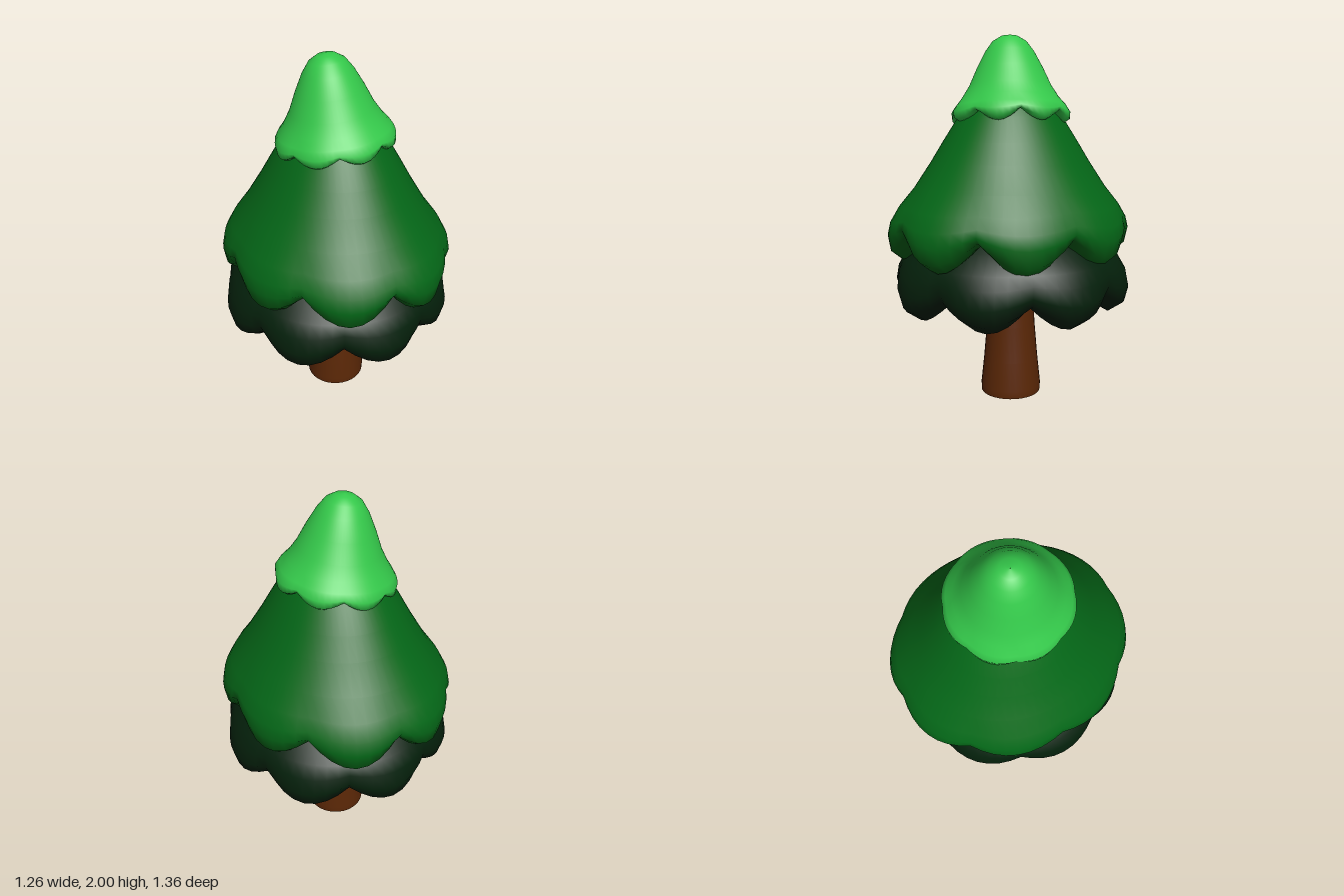
import * as THREE from 'three';

const LOBES = 8, STEPS = 8;

// Scalloped skirt from rings [radius, y, radius lost at a notch, height gained at a notch]
function skirt(name, color, rings) {
  const n = LOBES * STEPS, pos = [], index = [];
  rings.forEach(([r, y, dr = 0, dy = 0], i) => {
    for (let j = 0; j < n; j++) {
      const t = (j / n) * Math.PI * 2;
      const notch = 1 - Math.abs(Math.sin(t * LOBES / 2));
      const rad = r - dr * notch;
      pos.push(rad * Math.sin(t), y + dy * notch, rad * Math.cos(t));
      if (i < rings.length - 1) {
        const k = (j + 1) % n, a = i * n, b = a + n;
        index.push(a + j, b + j, b + k, a + j, b + k, a + k);
      }
    }
  });
  const geo = new THREE.BufferGeometry();
  geo.setAttribute('position', new THREE.Float32BufferAttribute(pos, 3));
  geo.setIndex(index);
  geo.computeVertexNormals();
  const mesh = new THREE.Mesh(geo, new THREE.MeshStandardMaterial({ color, side: THREE.DoubleSide }));
  mesh.name = name;
  return mesh;
}

export function createModel() {
  const tree = new THREE.Group();
  tree.name = 'tree';

  // Hollow trunk flaring towards the ground
  const trunkProfile = [[0.168, 0], [0.17, 0.04], [0.153, 0.2], [0.136, 0.4], [0.13, 0.55], [0.128, 0.66]];
  const trunk = new THREE.Mesh(
    new THREE.LatheGeometry(trunkProfile.map(p => new THREE.Vector2(...p)), 32),
    new THREE.MeshStandardMaterial({ color: 0x5a2706, side: THREE.DoubleSide }));
  trunk.name = 'trunk';

  // Lowest, darkest foliage: a cone open at the top, with a rolled rim
  const lower = skirt('lowerFoliage', 0x04200b, [
    [0.27, 1.02], [0.38, 0.965], [0.5, 0.885], [0.585, 0.8, 0.01], [0.625, 0.73, 0.025, 0.02],
    [0.643, 0.64, 0.04, 0.05], [0.622, 0.555, 0.045, 0.09], [0.545, 0.5, 0.035, 0.125],
    [0.485, 0.53, 0.02, 0.11], [0.45, 0.6, 0, 0.07],
  ]);
  lower.scale.z = 1.03;

  // Large middle foliage: an open cone, slightly oval and turned by half a lobe
  const middle = skirt('middleFoliage', 0x046617, [
    [0.001, 1.8], [0.15, 1.74], [0.28, 1.56], [0.36, 1.43], [0.425, 1.32], [0.515, 1.18],
    [0.595, 1.08, 0.015, 0.01], [0.64, 1.0, 0.025, 0.03], [0.655, 0.93, 0.03, 0.06],
    [0.64, 0.84, 0.04, 0.12], [0.58, 0.79, 0.03, 0.16], [0.51, 0.81, 0.02, 0.14],
    [0.45, 0.87, 0, 0.1],
  ]);
  middle.scale.set(0.95, 1, 1.055);
  middle.rotation.y = Math.PI / LOBES;

  // Bright cap, leaning slightly to one side
  const cap = skirt('topFoliage', 0x34c84a, [
    [0.001, 0.45], [0.05, 0.443], [0.095, 0.415], [0.135, 0.36], [0.182, 0.27], [0.225, 0.175],
    [0.267, 0.108], [0.305, 0.065, 0.006], [0.328, 0.025, 0.01, 0.015], [0.325, -0.015, 0.012, 0.04],
    [0.295, -0.035, 0.01, 0.06], [0.265, -0.01, 0.005, 0.045], [0.24, 0.05],
  ]);
  cap.position.y = 1.552;
  cap.rotation.z = 0.1;
  cap.scale.x = 0.97;

  tree.add(trunk, lower, middle, cap);
  return tree;
}
